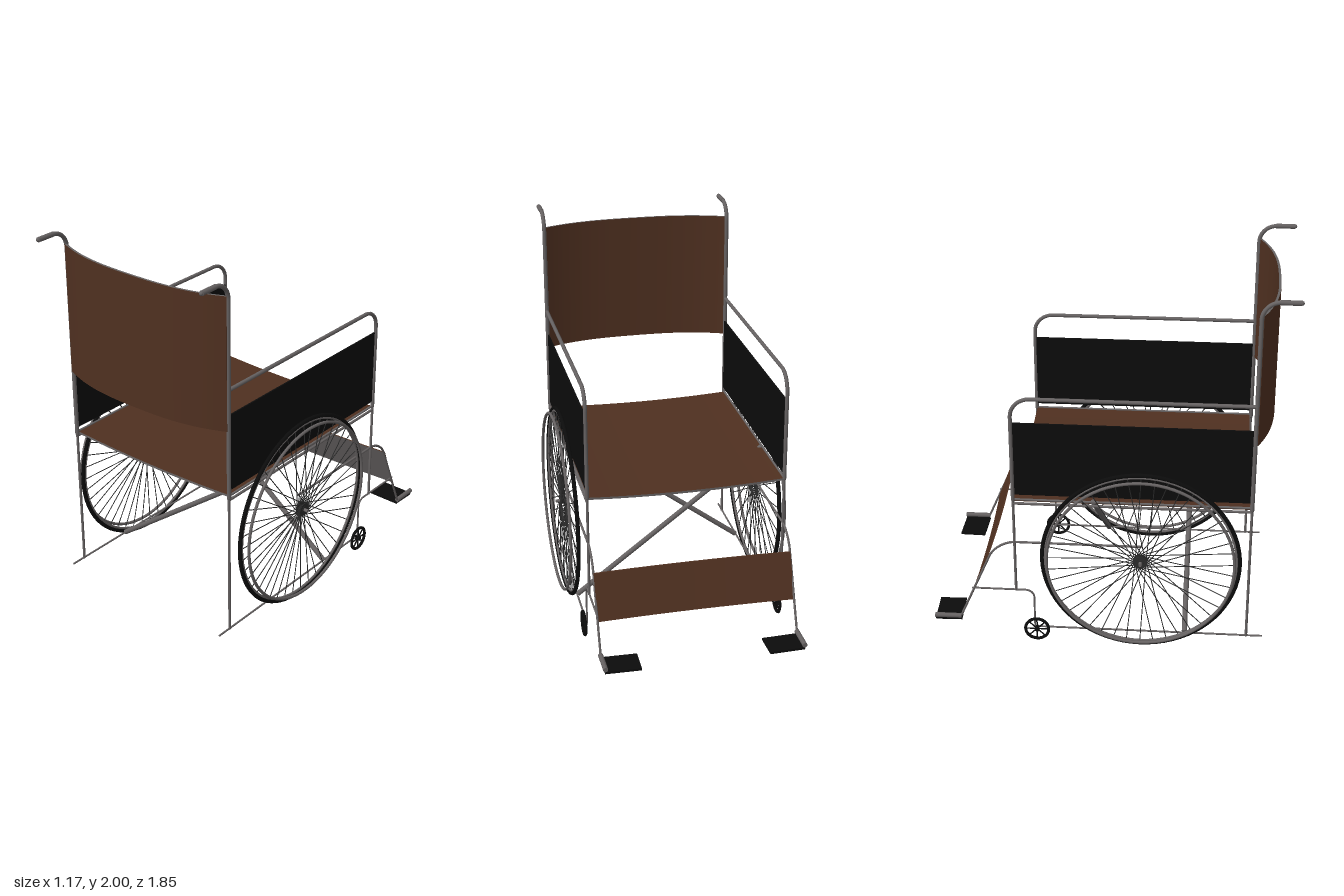
import * as THREE from 'three';
import { mergeGeometries } from 'three/addons/utils/BufferGeometryUtils.js';

const mat = (color) => new THREE.MeshStandardMaterial({ color });
const V = (x, y, z) => new THREE.Vector3(x, y, z);

export function createModel() {
  const model = new THREE.Group();
  const metal = mat(0x666262), brown = mat(0x4f3020), black = mat(0x0c0c0c);
  const spokeMat = mat(0x2c2c2c);

  const add = (parent, name, geometry, material) => {
    const mesh = new THREE.Mesh(geometry, material);
    mesh.name = name;
    parent.add(mesh);
    return mesh;
  };

  // Straight round bar between two points
  const barGeometry = (a, b, r, sides = 10) => {
    const dir = b.clone().sub(a);
    const g = new THREE.CylinderGeometry(r, r, dir.length(), sides);
    g.applyQuaternion(new THREE.Quaternion().setFromUnitVectors(V(0, 1, 0), dir.normalize()));
    const mid = a.clone().add(b).multiplyScalar(0.5);
    return g.translate(mid.x, mid.y, mid.z);
  };

  // Bent tube through corners, each rounded with the given bend size
  const bentTube = (points, r, bend) => {
    const path = new THREE.CurvePath();
    let start = points[0];
    for (let i = 1; i < points.length - 1; i++) {
      const p = points[i];
      const before = p.clone().add(points[i - 1].clone().sub(p).setLength(bend));
      const after = p.clone().add(points[i + 1].clone().sub(p).setLength(bend));
      const k = 0.55;
      path.add(new THREE.LineCurve3(start, before));
      path.add(new THREE.CubicBezierCurve3(before, before.clone().lerp(p, k), after.clone().lerp(p, k), after));
      start = after;
    }
    path.add(new THREE.LineCurve3(start, points[points.length - 1]));
    const parts = [new THREE.TubeGeometry(path, 100, r, 10, false)];
    for (const p of [points[0], points[points.length - 1]]) {
      parts.push(new THREE.SphereGeometry(r, 10, 6).translate(p.x, p.y, p.z));
    }
    return mergeGeometries(parts);
  };

  // Thin cloth slab, bent by a rule on its vertices
  const cloth = (name, w, h, d, rule, materials) => {
    const g = new THREE.BoxGeometry(w, h, d, 32, 1, 1);
    const pos = g.attributes.position, p = new THREE.Vector3();
    for (let i = 0; i < pos.count; i++) {
      rule(p.fromBufferAttribute(pos, i));
      pos.setXYZ(i, p.x, p.y, p.z);
    }
    g.computeVertexNormals();
    return add(model, name, g, materials);
  };

  // Seat sags slightly in the middle
  cloth('seat', 1.02, 0.012, 1.205, (p) => {
    p.y += 0.855 - 0.016 * (1 - (p.x / 0.51) ** 2);
    p.z += 0.125;
  }, [brown, brown, brown, brown, metal, metal]);

  // Backrest bows backward
  cloth('backrest', 1.03, 0.695, 0.012, (p) => {
    p.y += 1.5675;
    p.z += 0.742 + 0.09 * (1 - Math.abs(p.x / 0.515) ** 2.7);
  }, [brown, brown, metal, metal, brown, brown]);

  // Calf strap leans forward towards the feet, with a pale lining
  cloth('calfStrap', 1.03, 0.23, 0.008, (p) => {
    p.z += -0.668 + p.y * 0.38 + 0.012 * (1 - (p.x / 0.515) ** 2);
    p.y += 0.395;
  }, [brown, brown, brown, brown, metal, brown]);

  // Diagonal braces below the seat
  add(model, 'rearCrossBrace', barGeometry(V(-0.51, 0.085, 0.41), V(0.51, 0.845, 0.41), 0.014), metal);
  add(model, 'frontCrossBrace', barGeometry(V(-0.51, 0.86, -0.07), V(0.51, 0.08, -0.07), 0.014), metal);

  // Wheel axes lie along x
  const ring = (r, tube, x, sides = 72) =>
    new THREE.TorusGeometry(r, tube, 10, sides).rotateY(Math.PI / 2).translate(x, 0, 0);
  const disc = (r, x0, x1) =>
    new THREE.CylinderGeometry(r, r, x1 - x0, 20).rotateZ(Math.PI / 2).translate((x0 + x1) / 2, 0, 0);
  const polar = (x, r, a) => V(x, r * Math.sin(a), r * Math.cos(a));

  for (const s of [1, -1]) {
    const side = new THREE.Group();
    side.name = s > 0 ? 'leftSide' : 'rightSide';
    model.add(side);
    const X = s * 0.515;
    const path = (list) => list.map(([y, z]) => V(X, y, z));
    const tube = (name, list, r, bend = 0.05) => add(side, name, bentTube(path(list), r, bend), metal);

    // Frame
    tube('backPostAndHandle', [[0.85, 0.735], [1.987, 0.735], [1.987, 0.92]], 0.011, 0.09);
    add(side, 'pushGrip', barGeometry(V(X, 1.987, 0.82), V(X, 1.987, 0.92), 0.013), metal);
    tube('lowerBackPost', [[0.08, 0.735], [0.87, 0.735]], 0.007);
    tube('armrest', [[1.435, 0.735], [1.435, -0.48], [0.86, -0.48]], 0.01, 0.1);
    tube('lowerFrontPost', [[0.87, -0.48], [0.31, -0.48]], 0.007);
    tube('upperSeatRail', [[0.862, 0.735], [0.862, -0.48]], 0.006);
    tube('lowerSeatRail', [[0.838, 0.735], [0.838, -0.48]], 0.007);
    tube('bottomRail', [[0.08, 0.815], [0.08, -0.375]], 0.005);
    tube('casterFork', [[0.08, -0.385], [0.31, -0.385], [0.31, -0.71]], 0.005, 0.045);
    tube('legRest', [[0.605, 0.175], [0.605, -0.575], [0.13, -0.78]], 0.006, 0.1);

    // Side panel
    add(side, 'sidePanel', new THREE.BoxGeometry(0.008, 0.41, 1.21), black)
      .position.set(s * 0.512, 1.095, 0.13);

    // Footplate with a raised outer edge
    const foot = new THREE.Group();
    foot.name = 'footRest';
    foot.position.set(0, 0.107, -0.85);
    side.add(foot);
    const plate = add(foot, 'footPlate', new THREE.BoxGeometry(0.185, 0.012, 0.14), black);
    plate.position.x = s * 0.423;
    plate.rotation.y = s * -0.03;
    add(foot, 'footPlateHinge', barGeometry(V(X, 0.02, -0.07), V(X, 0.02, 0.07), 0.013), metal);

    // Large wheel
    const wheel = new THREE.Group();
    wheel.name = 'rearWheel';
    wheel.position.set(0, 0.533, 0.175);
    side.add(wheel);
    add(wheel, 'tyre', ring(0.51, 0.011, s * 0.542), black);
    add(wheel, 'rim', ring(0.496, 0.007, s * 0.542), metal);
    add(wheel, 'handRim', ring(0.484, 0.008, s * 0.578), metal);
    add(wheel, 'axle', disc(0.009, s * 0.545 - 0.035, s * 0.545 + 0.035), metal);
    add(wheel, 'hub', mergeGeometries([
      disc(0.018, s * 0.542 - 0.016, s * 0.542 + 0.016),
      disc(0.036, s * 0.53 - 0.002, s * 0.53 + 0.002),
      disc(0.036, s * 0.554 - 0.002, s * 0.554 + 0.002),
    ]), spokeMat);

    // Spokes leave the hub at alternating slants
    const spokes = [];
    for (let i = 0; i < 44; i++) {
      const a = (i / 44) * Math.PI * 2, flip = i % 2 ? 1 : -1;
      spokes.push(barGeometry(polar(s * 0.542 + flip * 0.011, 0.034, a + flip * 0.9),
        polar(s * 0.542, 0.5, a), 0.0025, 5));
    }
    add(wheel, 'spokes', mergeGeometries(spokes), spokeMat);

    // Small front caster
    const caster = new THREE.Group();
    caster.name = 'caster';
    caster.position.set(0, 0.075, -0.373);
    side.add(caster);
    add(caster, 'casterTyre', ring(0.062, 0.008, s * 0.53, 32), black);
    const arms = [disc(0.012, s * 0.527 - 0.015, s * 0.527 + 0.015)];
    for (let i = 0; i < 8; i++) {
      arms.push(barGeometry(V(s * 0.53, 0, 0), polar(s * 0.53, 0.062, (i / 8) * Math.PI * 2), 0.004, 6));
    }
    add(caster, 'casterSpokes', mergeGeometries(arms), black);
  }
  return model;
}
